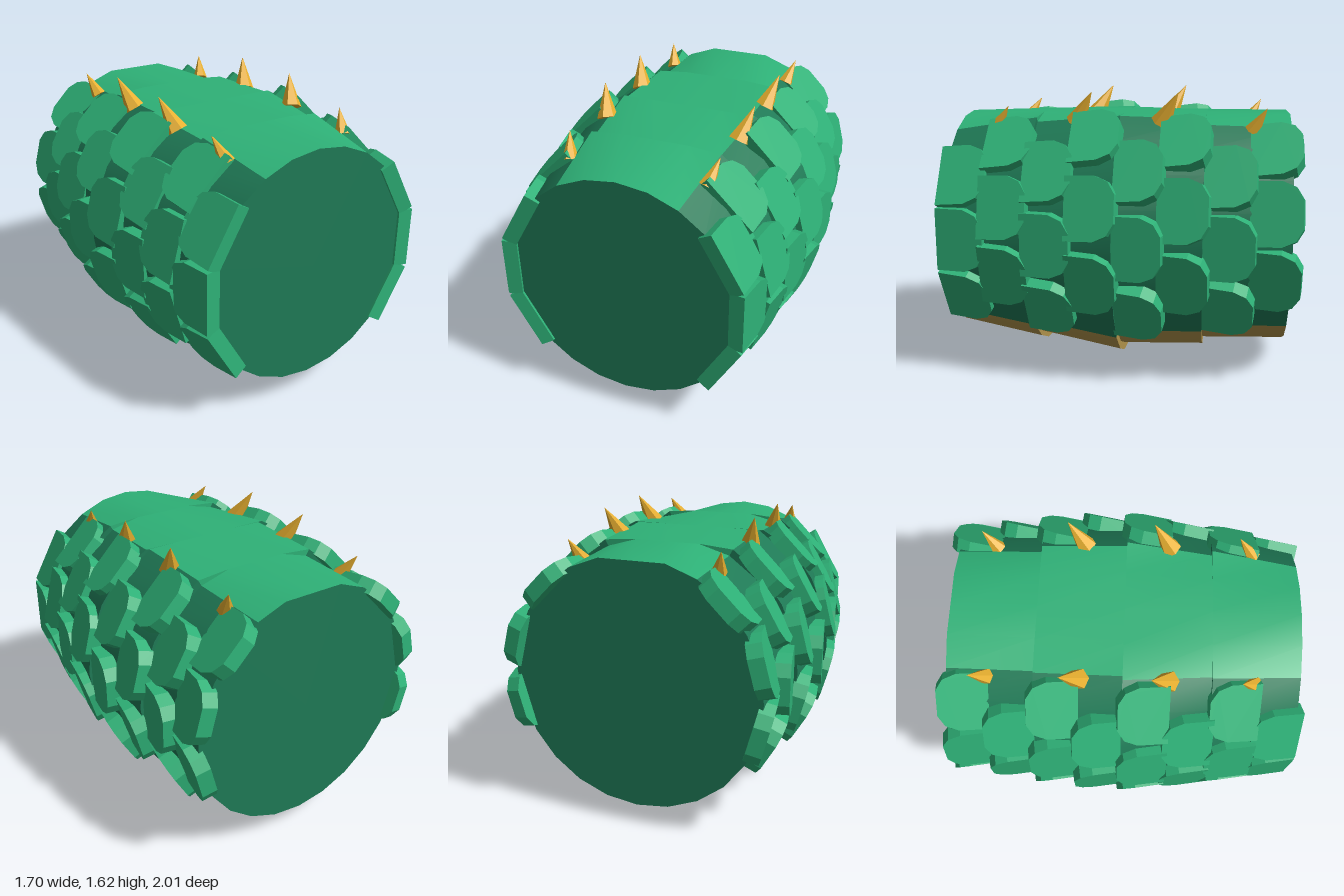
import * as THREE from 'three';

const AXIS_Y = 0.82, TOP_Y = 1.49, STEP = Math.PI / 12;

const scaleMat = new THREE.MeshStandardMaterial({ color: 0x2eb177 });
const skinMat = new THREE.MeshStandardMaterial({ color: 0x1f7a56 });
const bellyMat = new THREE.MeshStandardMaterial({ color: 0xb4964c });
const spikeMat = new THREE.MeshStandardMaterial({ color: 0xe8b030 });

// Strip of faces between two rings [radius, z]; angle steps are counted from the top towards +x
function loft([rA, zA], [rB, zB], from, to) {
  const pos = [], index = [];
  for (let i = from; i <= to; i++) {
    for (const [r, z] of [[rA, zA], [rB, zB]]) {
      const a = i * STEP;
      pos.push(r * Math.sin(a), Math.min(TOP_Y, AXIS_Y + r * Math.cos(a)), z);
    }
    if (i < to) {
      const k = (i - from) * 2;
      index.push(k, k + 2, k + 1, k + 2, k + 3, k + 1);
    }
  }
  const g = new THREE.BufferGeometry();
  g.setAttribute('position', new THREE.Float32BufferAttribute(pos, 3));
  g.setIndex(index);
  g.computeVertexNormals();
  return g;
}

// Plate with a straight front edge and a chamfered rear, lying against +x
function makeScaleGeometry() {
  const w = 0.175, l = 0.28;
  const half = [[w, 0], [w, l * 0.6], [w * 0.82, l * 0.86], [w * 0.45, l]];
  const outline = [...half, ...half.map(([x, y]) => [-x, y]).reverse()];
  const shape = new THREE.Shape(outline.map(([x, y]) => new THREE.Vector2(x, y)));
  const g = new THREE.ExtrudeGeometry(shape, { depth: 0.085, bevelEnabled: false });
  g.translate(0, 0, -0.085);
  g.applyMatrix4(new THREE.Matrix4().makeBasis(
    new THREE.Vector3(0, -1, 0), new THREE.Vector3(0, 0, -1), new THREE.Vector3(1, 0, 0)));
  g.rotateY(-0.17);
  return g;
}

export function createModel() {
  const model = new THREE.Group();
  const add = (name, geometry, material, parent = model) => {
    const m = new THREE.Mesh(geometry, material);
    m.name = name;
    parent.add(m);
    return m;
  };

  // Body: four flaring segments, each split into back strip, flanks and belly
  const segments = [
    [[0.665, 0.97], [0.755, 0.485]],
    [[0.725, 0.485], [0.815, 0.005]],
    [[0.77, 0.005], [0.755, -0.475]],
    [[0.715, -0.475], [0.70, -0.95]],
  ];
  const bands = [
    ['backStrip', -2, 2, scaleMat],
    ['leftFlank', 2, 9, skinMat],
    ['bellyPlate', 9, 15, bellyMat],
    ['rightFlank', 15, 22, skinMat],
  ];
  segments.forEach(([front, rear], i) => {
    for (const [name, from, to, mat] of bands) {
      add(name, loft(front, rear, from, to), mat);
      // Ledge down to the next segment
      if (i < 3) add(name + 'Ledge', loft(rear, segments[i + 1][0], from, to), mat);
    }
  });
  add('frontCap', loft([0, 0.97], segments[0][0], 0, 24), skinMat);
  add('rearCap', loft(segments[3][1], [0, -0.95], 0, 24), skinMat);

  // Flank scales: eight staggered rows of three on each side
  const scales = new THREE.Group();
  scales.name = 'scales';
  model.add(scales);
  const scaleGeo = makeScaleGeometry();
  const rowRadius = [0.69, 0.735, 0.768, 0.8, 0.795, 0.77, 0.735, 0.705];
  rowRadius.forEach((r, row) => {
    for (const deg of row % 2 ? [-15, 15, 45] : [-30, 0, 30]) {
      for (const side of [1, -1]) {
        const a = deg * Math.PI / 180;
        const s = add('scale', scaleGeo, scaleMat, scales);
        s.position.set(side * r * Math.cos(a), AXIS_Y + r * Math.sin(a), 1 - row * 0.246);
        s.rotation.z = side > 0 ? a : Math.PI - a;
      }
    }
  });

  // Spikes along both edges of the back, leaning outward and rearward
  const spikes = [ // base x, y, z, then tip x, y, z
    [0.385, 1.41, 0.72, 0.425, 1.54, 0.635],
    [0.395, 1.45, 0.255, 0.45, 1.625, 0.155],
    [0.395, 1.45, -0.225, 0.45, 1.625, -0.325],
    [0.385, 1.41, -0.73, 0.425, 1.54, -0.81],
  ];
  for (const [bx, by, bz, tx, ty, tz] of spikes) {
    for (const side of [1, -1]) {
      const base = new THREE.Vector3(side * bx, by, bz);
      const axis = new THREE.Vector3(side * tx, ty, tz).sub(base);
      const length = axis.length();
      const g = new THREE.ConeGeometry(length * 0.29, length, 6).toNonIndexed();
      g.computeVertexNormals();
      g.translate(0, length / 2, 0);
      const spike = add('spike', g, spikeMat);
      spike.position.copy(base);
      spike.quaternion.setFromUnitVectors(new THREE.Vector3(0, 1, 0), axis.normalize());
    }
  }
  return model;
}
